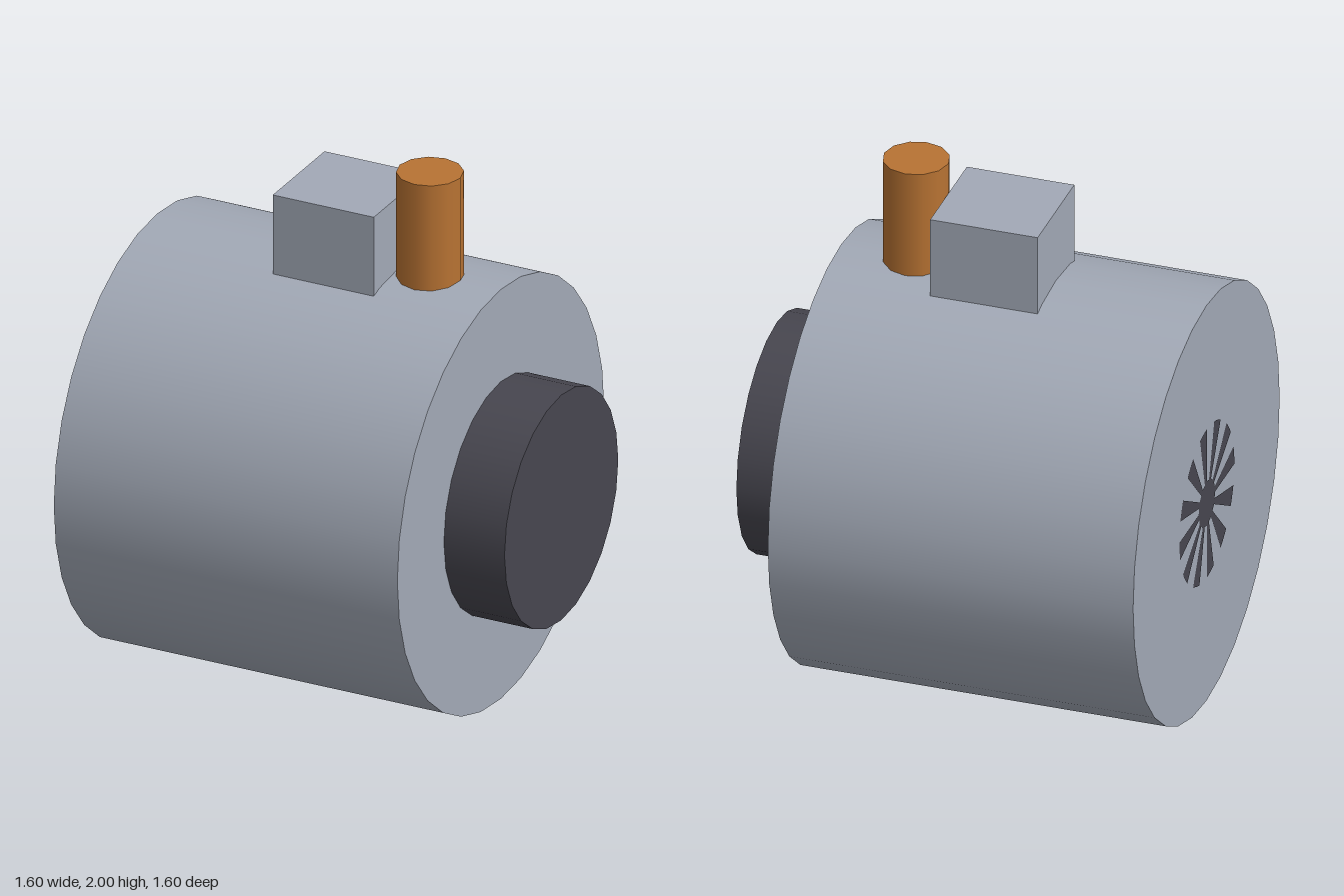
import * as THREE from 'three';

export function createModel() {
  const group = new THREE.Group();
  const mat = (name, color, side = THREE.FrontSide) => {
    const m = new THREE.MeshStandardMaterial({ color, side });
    m.name = name;
    return m;
  };
  const steel = mat('steel', 0xa2a9b6);
  const dark = mat('darkMetal', 0x47464f);
  const copper = mat('copper', 0xb87333);

  const add = (name, geometry, material, x, y, z = 0) => {
    const mesh = new THREE.Mesh(geometry, material);
    mesh.name = name;
    mesh.position.set(x, y, z);
    group.add(mesh);
    return mesh;
  };
  // Cylinder lying along x between x0 and x1
  const drum = (name, r, x0, x1, sides, material) =>
    add(name, new THREE.CylinderGeometry(r, r, x1 - x0, sides).rotateZ(-Math.PI / 2),
      material, (x0 + x1) / 2, 0.8);

  // Main body and the round collar on its end
  drum('body', 0.8, -0.8, 0.56, 32, steel);
  drum('collar', 0.44, 0.56, 0.8, 24, dark);

  // Block and pipe on top, both sunk into the body
  add('topBlock', new THREE.BoxGeometry(0.4, 0.38, 0.4), steel, -0.04, 1.69);
  add('topPipe', new THREE.CylinderGeometry(0.12, 0.12, 0.5, 12), copper, 0.28, 1.75);

  // Radial dark spokes on the closed end
  const vent = new THREE.Group();
  vent.name = 'endVent';
  vent.position.set(-0.802, 0.8, 0);
  vent.rotation.y = -Math.PI / 2;
  const spokes = 12;
  for (let i = 0; i < spokes; i++) {
    const start = (i / spokes) * Math.PI * 2;
    const spoke = new THREE.Mesh(new THREE.CircleGeometry(0.3, 2, start, 0.25), dark);
    spoke.name = 'ventSpoke';
    vent.add(spoke);
  }
  const hub = new THREE.Mesh(new THREE.CircleGeometry(0.09, 12), dark);
  hub.name = 'ventHub';
  vent.add(hub);
  group.add(vent);

  return group;
}
